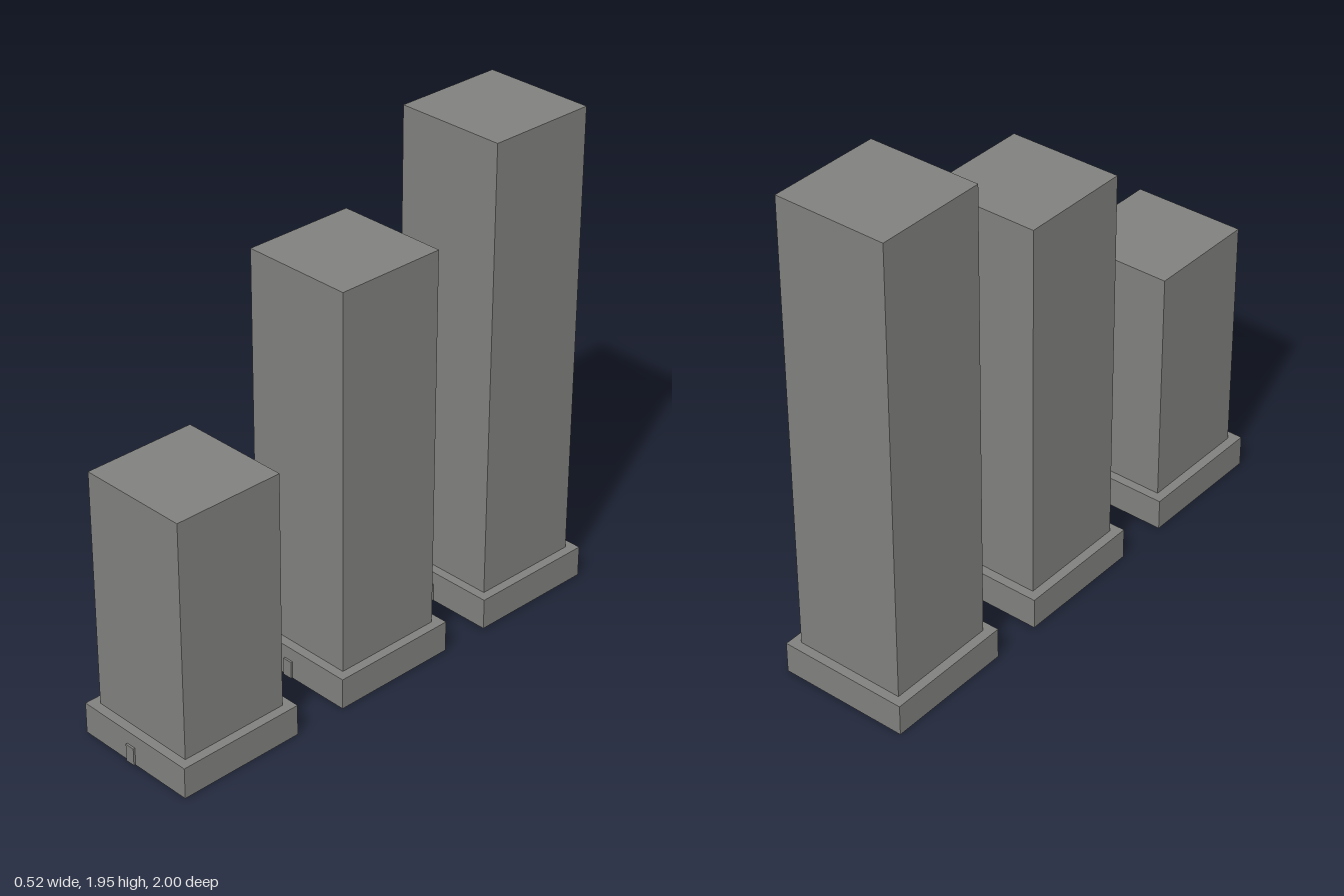
import * as THREE from 'three';

export function createModel() {
  const model = new THREE.Group();
  const grey = new THREE.MeshStandardMaterial({ color: 0x80807e });
  grey.name = 'grey';

  // Box placed by its underside
  const addBox = (parent, name, w, h, d, x, y, z) => {
    const mesh = new THREE.Mesh(new THREE.BoxGeometry(w, h, d), grey);
    mesh.name = name;
    mesh.position.set(x, y + h / 2, z);
    parent.add(mesh);
  };

  const baseSize = 0.524, baseHeight = 0.125, columnSize = 0.45;

  // Three square columns on plinths, rising towards the back
  const towers = [
    ['shortTower', 1.07, 0.73],
    ['middleTower', 1.64, -0.012],
    ['tallTower', 1.945, -0.738],
  ];
  for (const [name, height, z] of towers) {
    const tower = new THREE.Group();
    tower.name = name;
    tower.position.z = z;
    addBox(tower, 'plinth', baseSize, baseHeight, baseSize, 0, 0, 0);
    addBox(tower, 'column', columnSize, height - baseHeight, columnSize, 0, baseHeight, 0);
    // Small raised tab on the front of the plinth
    addBox(tower, 'frontTab', 0.04, 0.07, 0.008, -0.018, 0.002, baseSize / 2 + 0.004);
    model.add(tower);
  }
  return model;
}
